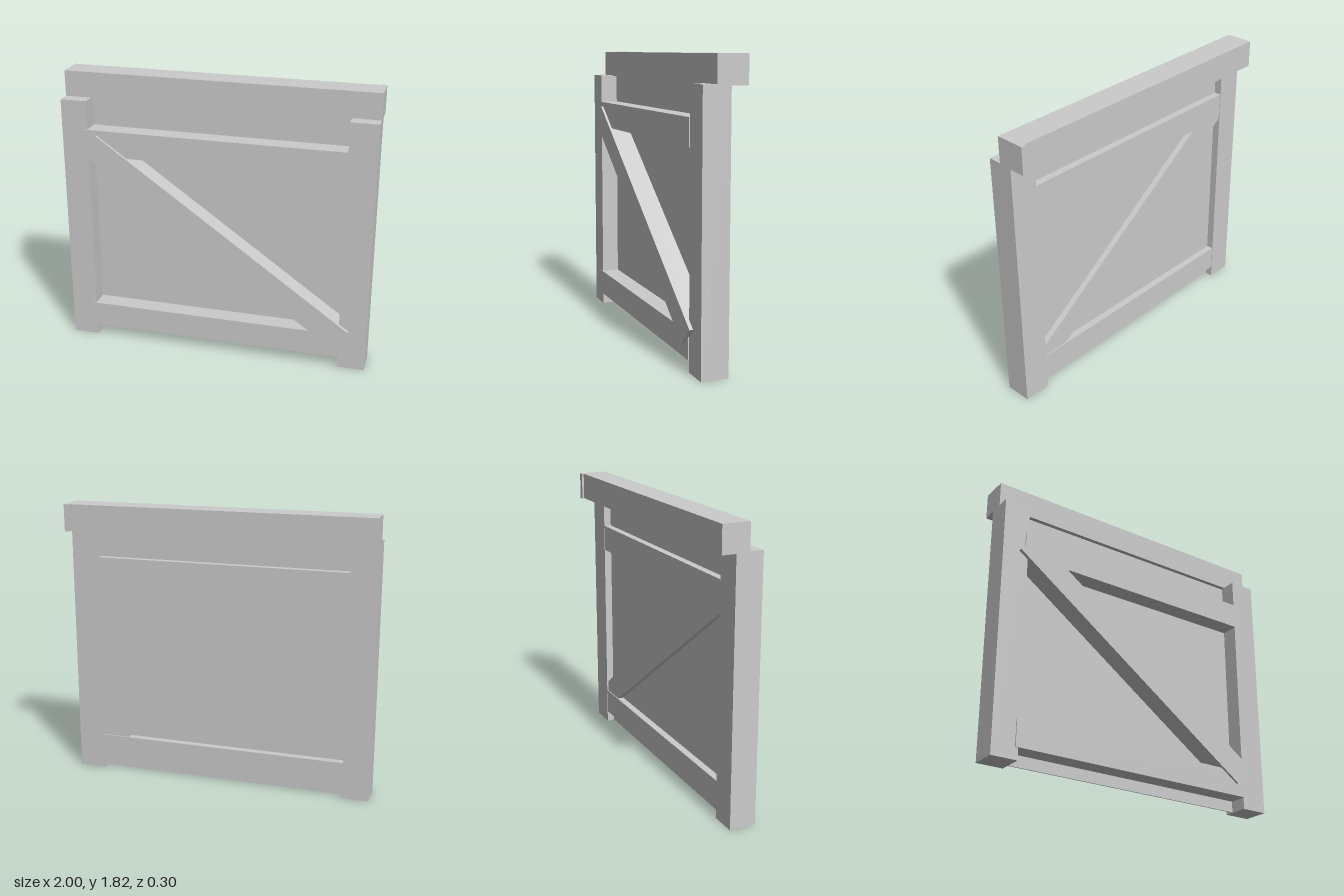
import * as THREE from 'three';

export function createModel() {
  const group = new THREE.Group();
  const material = new THREE.MeshStandardMaterial({ color: 0xcccccc, flatShading: true });

  // Box given by its extents on each axis
  function box(name, [x0, x1], [y0, y1], [z0, z1]) {
    const mesh = new THREE.Mesh(new THREE.BoxGeometry(x1 - x0, y1 - y0, z1 - z0), material);
    mesh.position.set((x0 + x1) / 2, (y0 + y1) / 2, (z0 + z1) / 2);
    mesh.name = name;
    group.add(mesh);
  }

  // Upright posts
  box('rightPost', [-1, -0.83], [0, 1.655], [-0.045, 0.125]);
  box('leftPost', [0.825, 1], [0, 1.655], [-0.045, 0.125]);

  // Cross rails, slightly proud of the posts at the front
  box('upperRail', [-0.85, 0.825], [1.3, 1.47], [-0.042, 0.132]);
  box('lowerRail', [-0.85, 0.825], [0.075, 0.24], [-0.042, 0.132]);

  // Thin infill panel
  box('panel', [-0.83, 0.825], [0.003, 1.655], [0.004, 0.012]);

  // Top beam set back from the posts, with a slim cap on its left end
  box('topBeam', [-1, 0.965], [1.65, 1.82], [-0.135, 0.04]);
  box('beamEndCap', [0.965, 1], [1.647, 1.82], [-0.148, 0.04]);

  // Diagonal brace with skewed ends
  const outline = [[-0.89, 1.325], [0.765, 0.155], [0.885, 0.27], [-0.77, 1.44]];
  const shape = new THREE.Shape(outline.map(([x, y]) => new THREE.Vector2(x, y)));
  const brace = new THREE.Mesh(
    new THREE.ExtrudeGeometry(shape, { depth: 0.183, bevelEnabled: false }), material);
  brace.position.z = -0.035;
  brace.name = 'diagonalBrace';
  group.add(brace);

  return group;
}
